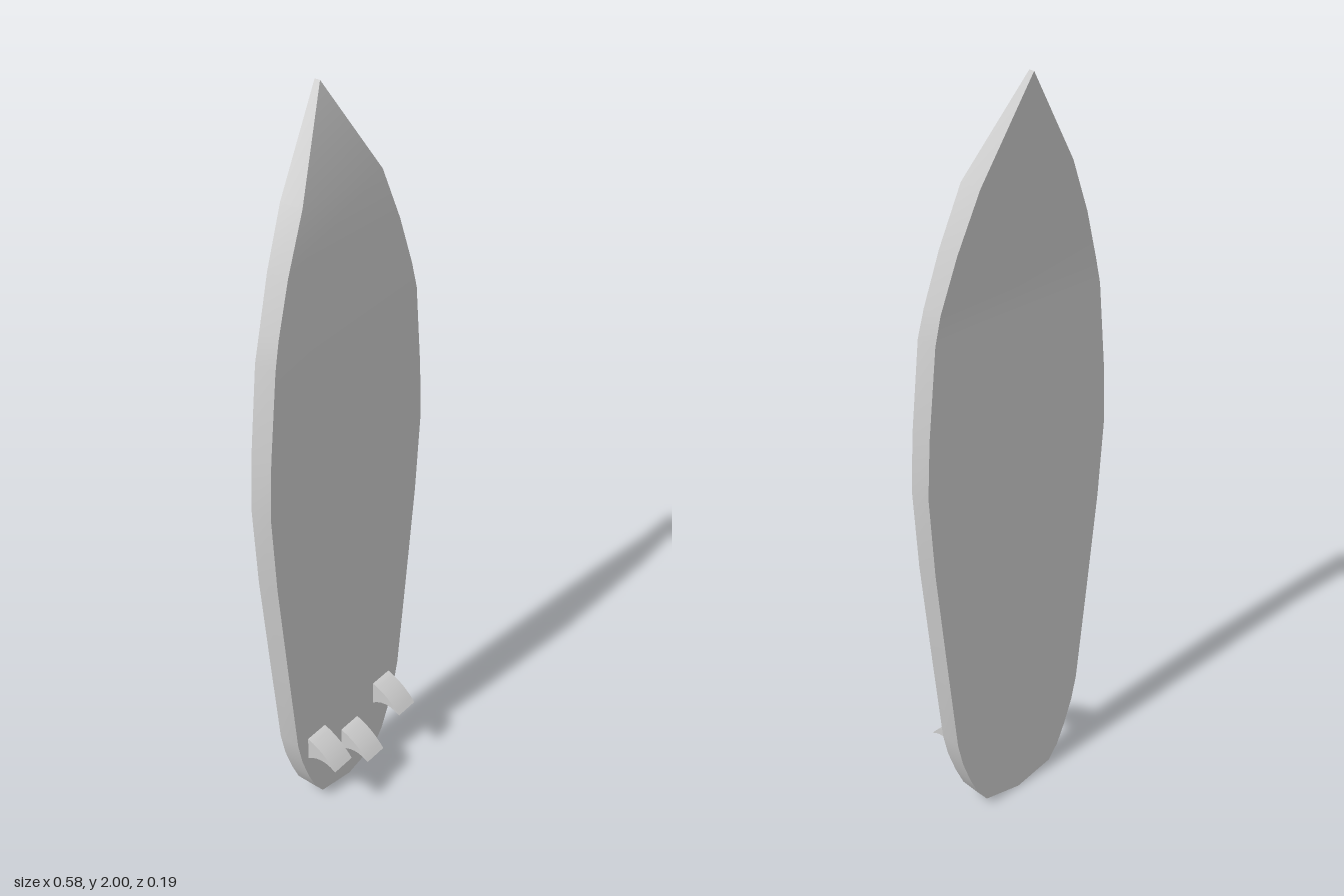
import * as THREE from 'three';
import { toCreasedNormals } from 'three/addons/utils/BufferGeometryUtils.js';

const material = new THREE.MeshStandardMaterial({ color: 0xcccccc });

// Stations from tail to nose: [height, half width]
const outline = [
  [0.005, 0], [0.03, 0.117], [0.07, 0.148], [0.13, 0.175], [0.2, 0.2], [0.27, 0.216],
  [0.55, 0.247], [0.83, 0.277], [1.05, 0.292], [1.2, 0.284], [1.43, 0.26], [1.5, 0.243],
  [1.63, 0.2], [1.77, 0.14], [2, 0],
];

// Nose rocker: the front and back faces sweep backwards near the tip
const ramp = (y, y0, y1) => THREE.MathUtils.clamp((y - y0) / (y1 - y0), 0, 1);
const frontZ = (y) => -0.016 * ramp(y, 1.43, 1.77) - 0.064 * ramp(y, 1.77, 2);
const backZ = (y) => -0.06 - 0.035 * ramp(y, 1.5, 2);

// Skin the rectangular sections; they close to a line at tail and nose
function boardGeometry() {
  const sections = outline.map(([y, w]) => [
    [w, y, frontZ(y)], [-w, y, frontZ(y)], [-w, y, backZ(y)], [w, y, backZ(y)],
  ].map((p) => new THREE.Vector3(...p)));
  const positions = [];
  const triangle = (a, b, c) => {
    if (a.distanceTo(b) < 1e-6 || b.distanceTo(c) < 1e-6 || c.distanceTo(a) < 1e-6) return;
    for (const p of [a, b, c]) positions.push(p.x, p.y, p.z);
  };
  for (let i = 0; i < sections.length - 1; i++) {
    const low = sections[i], high = sections[i + 1];
    for (let j = 0; j < 4; j++) {
      const k = (j + 1) % 4;
      triangle(low[k], low[j], high[j]);
      triangle(low[k], high[j], high[k]);
    }
  }
  const geometry = new THREE.BufferGeometry();
  geometry.setAttribute('position', new THREE.Float32BufferAttribute(positions, 3));
  return toCreasedNormals(geometry, 0.5);
}

// Swept fin profile in z and y, extruded across the board
function finGeometry() {
  const width = 0.07;
  const shape = new THREE.Shape();
  shape.moveTo(-0.005, 0);
  shape.lineTo(0, 0);
  shape.quadraticCurveTo(0.045, 0.035, 0.092, 0.004);
  shape.quadraticCurveTo(0.055, 0.052, 0, 0.07);
  shape.lineTo(-0.005, 0.07);
  const geometry = new THREE.ExtrudeGeometry(shape, { depth: width, bevelEnabled: false, curveSegments: 6 });
  geometry.translate(0, 0, -width / 2);
  geometry.rotateY(-Math.PI / 2);
  return toCreasedNormals(geometry, 0.5);
}

export function createModel() {
  const model = new THREE.Group();
  model.name = 'surfboard';
  const add = (name, geometry, x = 0, y = 0) => {
    const mesh = new THREE.Mesh(geometry, material);
    mesh.name = name;
    mesh.position.set(x, y, 0);
    model.add(mesh);
  };
  add('board', boardGeometry());

  // Two side fins and a lower centre fin
  const fin = finGeometry();
  add('leftFin', fin, 0.14, 0.195);
  add('rightFin', fin, -0.14, 0.195);
  add('centreFin', fin, 0, 0.125);
  return model;
}
